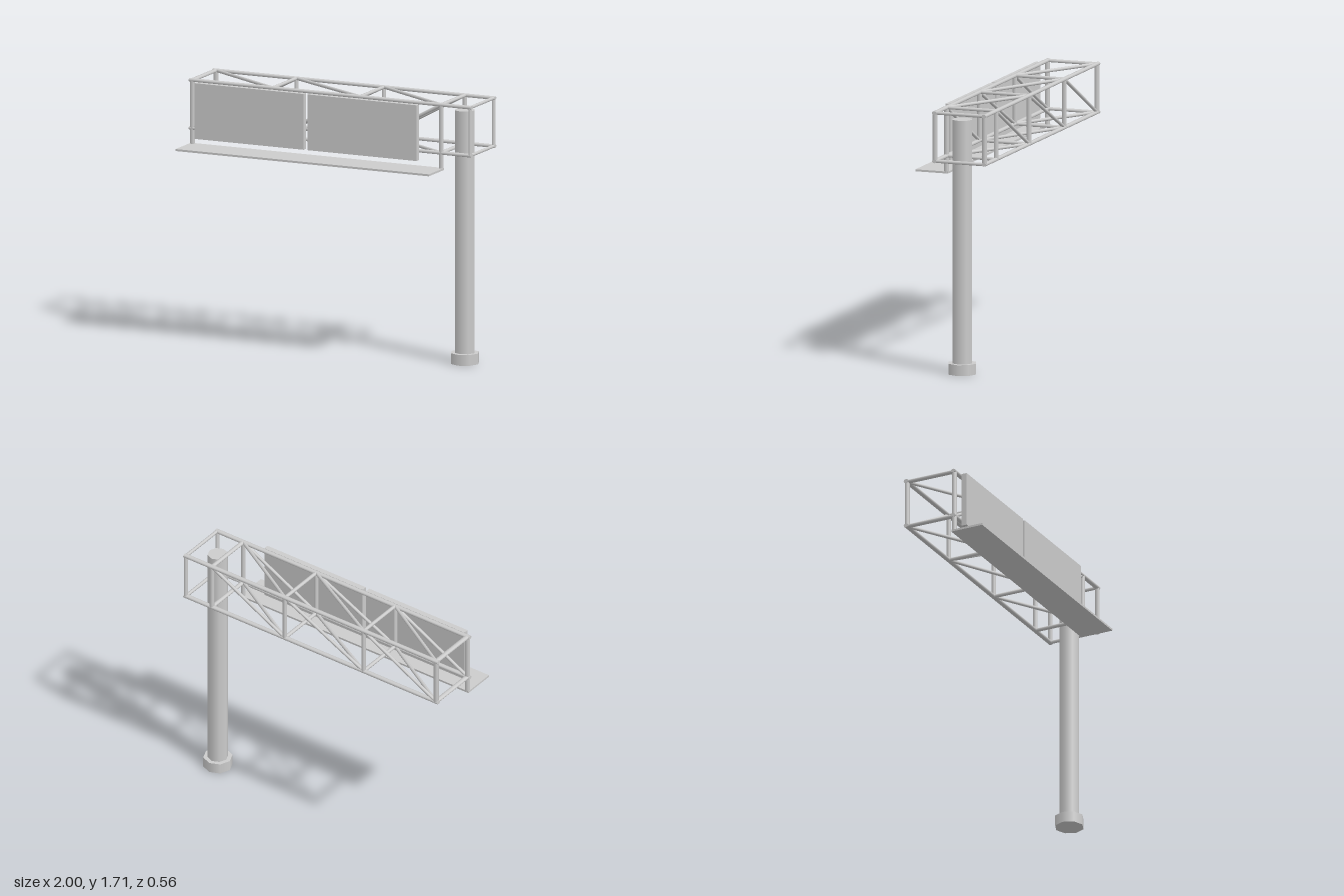
import * as THREE from 'three';

const material = new THREE.MeshStandardMaterial({ color: 0xcccccc });

export function createModel() {
  const root = new THREE.Group();
  root.name = 'signGantry';

  const add = (name, geometry, x, y, z, parent = root) => {
    const mesh = new THREE.Mesh(geometry, material);
    mesh.name = name;
    mesh.position.set(x, y, z);
    parent.add(mesh);
    return mesh;
  };

  // Column with its wider footing
  add('column', new THREE.CylinderGeometry(0.066, 0.066, 1.585, 8), 0.88, 0.8525, -0.07);
  add('footing', new THREE.CylinderGeometry(0.094, 0.094, 0.07, 8), 0.88, 0.035, -0.07);

  // Box truss
  const truss = new THREE.Group();
  truss.name = 'truss';
  root.add(truss);
  const FRONT = 0.074, BACK = -0.264, TOP = 1.695, BOTTOM = 1.383;

  // Tube between two points; wide is its horizontal radius, high the other one
  const tube = (name, a, b, wide, high) => {
    const from = new THREE.Vector3(...a), to = new THREE.Vector3(...b);
    const geometry = new THREE.CylinderGeometry(1, 1, from.distanceTo(to), 8);
    geometry.rotateX(Math.PI / 2).scale(wide, high, 1);
    const mid = from.clone().add(to).multiplyScalar(0.5);
    const mesh = add(name, geometry, mid.x, mid.y, mid.z, truss);
    if (Math.abs(a[0] - b[0]) + Math.abs(a[2] - b[2]) < 1e-6) mesh.up.set(1, 0, 0);
    mesh.lookAt(to);
  };

  const stations = [-0.98, -0.41, 0.21, 0.785, 0.989];
  const halfWidths = [0.018, 0.013, 0.013, 0.015, 0.011];

  // Long chords along the four edges
  for (const y of [TOP, BOTTOM])
    for (const z of [FRONT, BACK])
      tube('chord', [-1, y, z], [1, y, z], 0.017, 0.012);

  // Posts and cross bars at every station
  stations.forEach((x, i) => {
    const w = halfWidths[i];
    for (const z of [FRONT, BACK])
      tube('post', [x, BOTTOM, z], [x, TOP, z], 0.016, w);
    for (const y of [TOP, BOTTOM])
      tube('crossBar', [x, y, BACK], [x, y, FRONT], w, 0.011);
  });

  // Diagonal braces in the first three bays, on all four sides
  for (let i = 0; i < 3; i++) {
    const x0 = stations[i], x1 = stations[i + 1];
    for (const z of [FRONT, BACK])
      tube('sideBrace', [x0, BOTTOM, z], [x1, TOP, z], 0.011, 0.011);
    for (const y of [TOP, BOTTOM])
      tube('flatBrace', [x0, y, BACK], [x1, y, FRONT], 0.011, 0.011);
  }

  // Hangers carrying the walkway
  for (const i of [0, 3])
    tube('walkwayHanger', [stations[i], 1.275, FRONT], [stations[i], BOTTOM, FRONT], 0.016, halfWidths[i]);
  add('walkway', new THREE.BoxGeometry(1.795, 0.013, 0.222), -0.1, 1.2765, 0.171);

  // Two sign panels
  for (const x of [-0.548, 0.253])
    add('signPanel', new THREE.BoxGeometry(0.775, 0.362, 0.035), x, 1.509, 0.12);

  return root;
}
